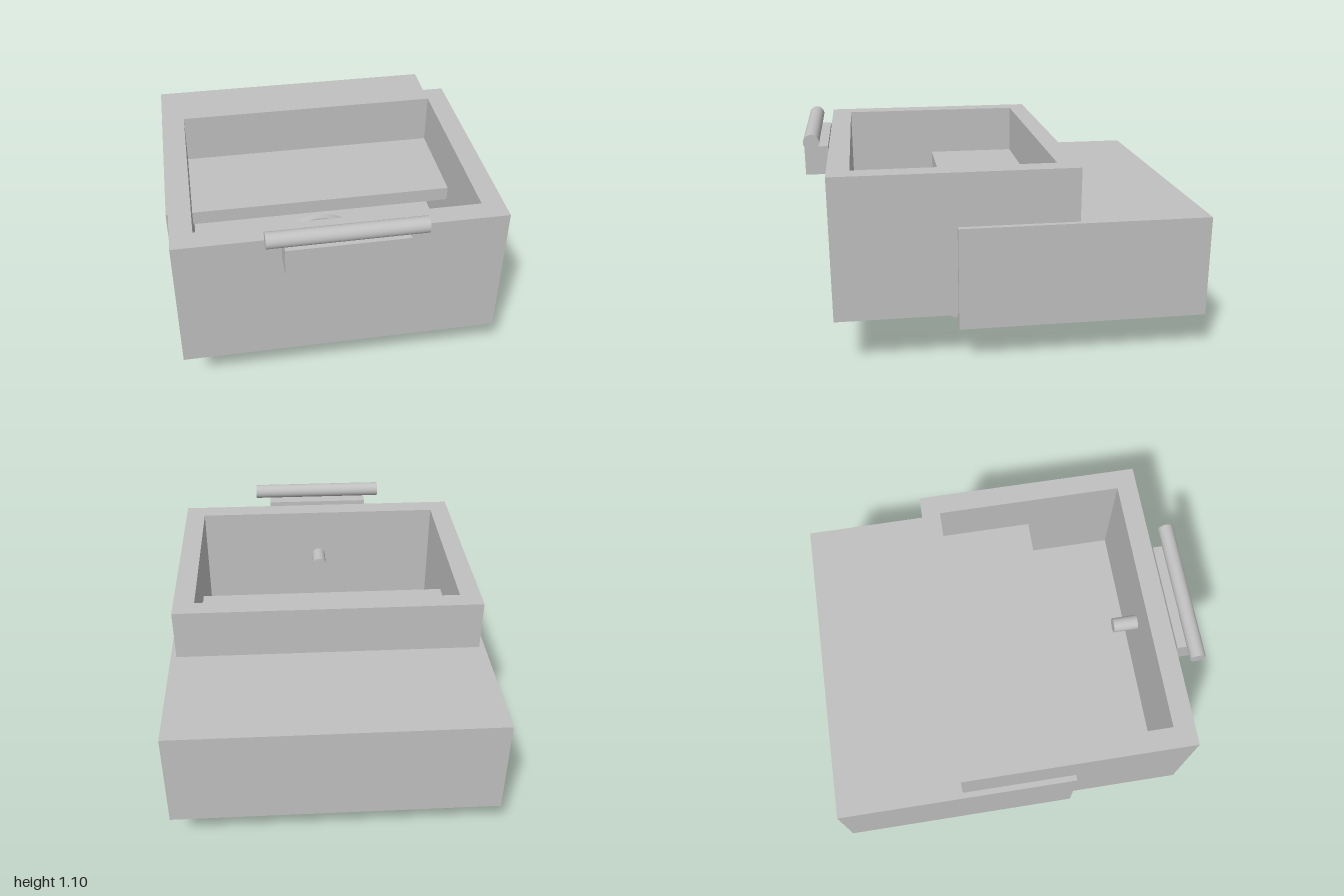
import * as THREE from 'three';

export function createModel() {
  const model = new THREE.Group();
  const grey = new THREE.MeshStandardMaterial({ color: 0xc0c0c0 });
  grey.name = 'plain grey';

  function add(name, geometry, x = 0, y = 0, z = 0) {
    const mesh = new THREE.Mesh(geometry, grey);
    mesh.name = name;
    mesh.position.set(x, y, z);
    model.add(mesh);
    return mesh;
  }

  // Box given by its limits on each axis
  function box(name, [x0, x1], [y0, y1], [z0, z1]) {
    return add(name, new THREE.BoxGeometry(x1 - x0, y1 - y0, z1 - z0),
      (x0 + x1) / 2, (y0 + y1) / 2, (z0 + z1) / 2);
  }

  // Round bar along x or z
  function bar(name, axis, radius, length, x, y, z) {
    const geometry = new THREE.CylinderGeometry(radius, radius, length, 64);
    if (axis === 'x') geometry.rotateZ(Math.PI / 2);
    else geometry.rotateX(Math.PI / 2);
    return add(name, geometry, x, y, z);
  }

  // Plan outline in (x, z), raised from y0 to y1
  const outline = (points) => points.map(([x, z]) => new THREE.Vector2(x, -z));
  function raise(name, shape, y0, y1) {
    const geometry = new THREE.ExtrudeGeometry(shape, { depth: y1 - y0, bevelEnabled: false, curveSegments: 32 });
    geometry.rotateX(-Math.PI / 2);
    return add(name, geometry, 0, y0, 0);
  }
  const rectangle = (x, z0, z1) => outline([[-x, z1], [x, z1], [x, z0], [-x, z0]]);

  // Open drawer tray: four walls and a floor
  const trayPlan = new THREE.Shape(rectangle(0.81, -0.335, 0.88));
  trayPlan.holes.push(new THREE.Path(rectangle(0.7, -0.235, 0.77)));
  raise('trayWalls', trayPlan, 0.26, 0.99);
  box('trayFloor', [-0.7, 0.7], [0.26, 0.36], [-0.235, 0.77]);

  // Rear housing: three walls, open below and in front, with a top plate
  raise('housingWalls', new THREE.Shape(outline([
    [-0.84, 0.27], [-0.76, 0.27], [-0.76, -0.92], [0.76, -0.92],
    [0.76, 0.27], [0.84, 0.27], [0.84, -1], [-0.84, -1],
  ])), 0.193, 0.718);
  box('housingTop', [-0.76, 0.76], [0.64, 0.718], [-0.92, 0.27]);

  // Handle on the front wall, and the peg behind it
  box('handleBracket', [-0.295, 0.295], [0.867, 1.015], [0.88, 1]);
  bar('handleBar', 'x', 0.04, 0.76, 0, 1.055, 0.96);
  bar('innerPeg', 'z', 0.04, 0.145, 0, 0.7, 0.7075);

  // Short rods under the tray
  for (const side of [-1, 1]) bar('underRod', 'x', 0.04, 0.32, side * 0.595, 0.26, 0.27);

  // Wheel and its axle, half sunk in the underside
  bar('wheel', 'z', 0.26, 0.04, 0, 0.26, 0.16);
  bar('axle', 'z', 0.108, 0.27, 0, 0.26, 0.135);

  // Round-ended block under the tray
  const r = 0.115, cx = 0.27 - r, cy = 0.025;
  const block = new THREE.Shape();
  block.absarc(cx, cy, r, -Math.PI / 2, Math.PI / 2);
  block.absarc(-cx, cy, r, Math.PI / 2, Math.PI * 1.5);
  raise('motorBlock', block, 0.07, 0.3);

  return model;
}
